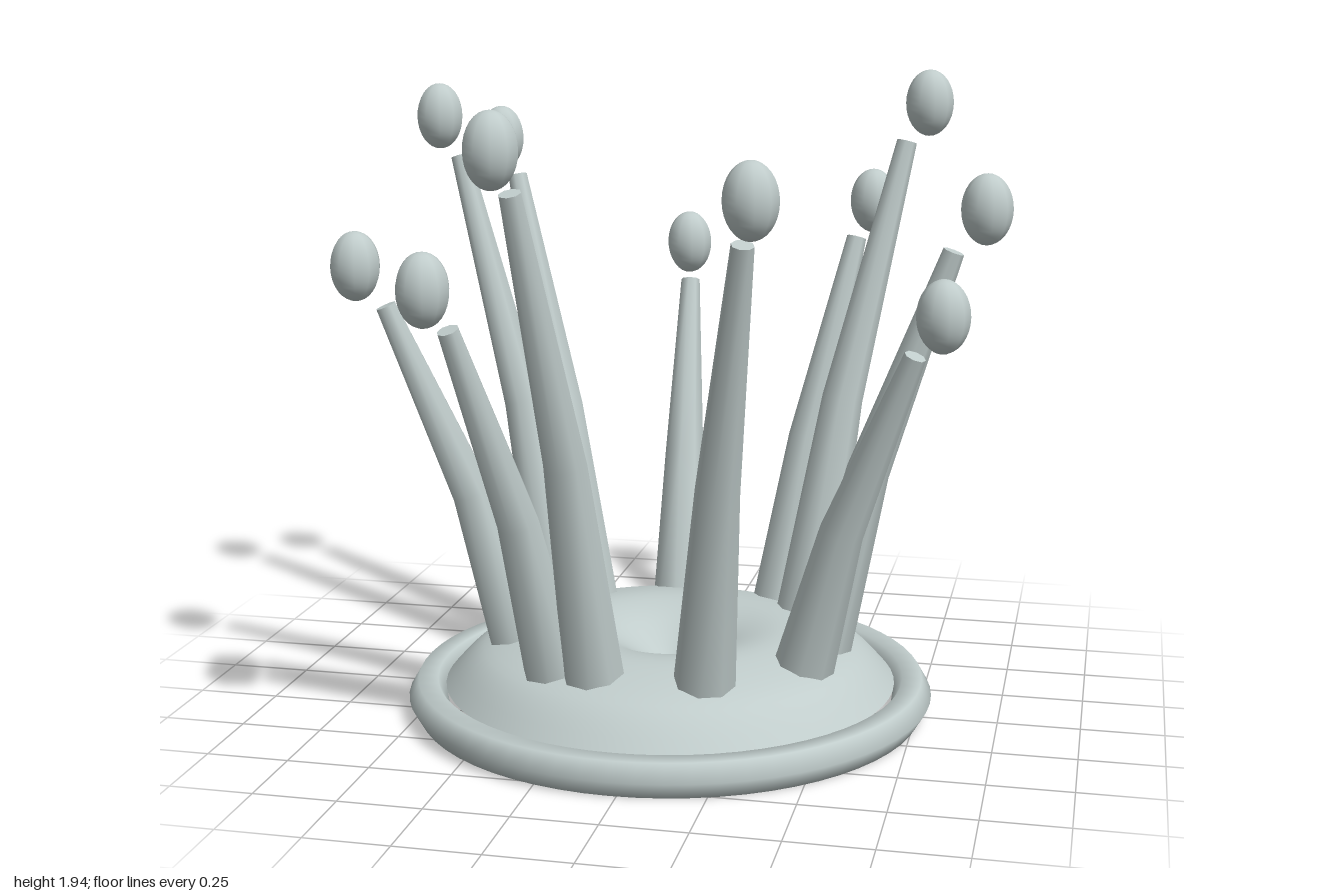
import * as THREE from 'three';

const paleGrey = new THREE.MeshStandardMaterial({ color: 0xc0cccb, side: THREE.DoubleSide });
paleGrey.name = 'paleGrey';

// Tapered eight-sided stalk bent through base, middle and tip
function stalkGeometry(base, tip) {
  const mid = base.clone().lerp(tip, 0.4);
  mid.y = (base.y + tip.y) / 2;
  const points = [base, mid, tip];
  const lower = mid.clone().sub(base).normalize();
  const upper = tip.clone().sub(mid).normalize();
  const tangents = [lower, lower.clone().add(upper).normalize(), upper];
  const up = new THREE.Vector3(0, 1, 0);
  const turns = tangents.map((t) => new THREE.Quaternion().setFromUnitVectors(up, t));

  const geometry = new THREE.CylinderGeometry(0.032, 0.098, 2, 8, 2);
  const position = geometry.attributes.position;
  const normal = geometry.attributes.normal;
  const v = new THREE.Vector3();
  for (let i = 0; i < position.count; i++) {
    const ring = Math.round(position.getY(i) + 1);
    v.fromBufferAttribute(position, i).setY(0).applyQuaternion(turns[ring]).add(points[ring]);
    position.setXYZ(i, v.x, v.y, v.z);
    v.fromBufferAttribute(normal, i).applyQuaternion(turns[ring]);
    normal.setXYZ(i, v.x, v.y, v.z);
  }
  return geometry;
}

export function createModel() {
  const model = new THREE.Group();
  model.name = 'stalkedCrown';
  const add = (name, geometry, x, y, z) => {
    const mesh = new THREE.Mesh(geometry, paleGrey);
    mesh.name = name;
    mesh.position.set(x, y, z);
    model.add(mesh);
    return mesh;
  };

  // Rounded rim with a six-sided section
  const rim = new THREE.TorusGeometry(0.755, 0.06, 6, 64);
  rim.rotateX(Math.PI / 2);
  add('rim', rim, -0.02, 0.053, 0.018);

  // Open shell that rises from the rim and dips at its centre
  const profile = new THREE.SplineCurve([
    [0.7, 0.085], [0.63, 0.16], [0.56, 0.205], [0.44, 0.238], [0.32, 0.25],
    [0.2, 0.222], [0.1, 0.165], [0, 0.1],
  ].map(([r, y]) => new THREE.Vector2(r, y))).getPoints(24);
  profile[24].x = 0;
  add('dishedDome', new THREE.LatheGeometry(profile.reverse(), 64), -0.02, 0, 0.018);

  // Each stalk: base x, z; tip x, y, z; bulb x, y, z
  const stalks = [
    [-0.09, -0.45, -0.14, 1.21, -0.845, -0.16, 1.33, -0.925],
    [0.24, -0.42, 0.45, 1.39, -0.71, 0.495, 1.505, -0.78],
    [0.34, -0.28, 0.625, 1.72, -0.56, 0.69, 1.84, -0.61],
    [0.43, 0.01, 0.83, 1.45, 0.015, 0.923, 1.575, 0.01],
    [0.405, 0.2, 0.76, 1.2, 0.37, 0.838, 1.32, 0.4],
    [0.165, 0.42, 0.345, 1.555, 0.785, 0.38, 1.68, 0.865],
    [-0.145, 0.43, -0.272, 1.68, 0.83, -0.297, 1.8, 0.915],
    [-0.27, 0.39, -0.485, 1.29, 0.735, -0.53, 1.41, 0.805],
    [-0.45, 0.13, -0.84, 1.27, 0.26, -0.925, 1.39, 0.28],
    [-0.41, -0.18, -0.8, 1.665, -0.36, -0.877, 1.79, -0.39],
    [-0.34, -0.28, -0.67, 1.585, -0.565, -0.737, 1.705, -0.61],
  ];
  for (const [bx, bz, tx, ty, tz, x, y, z] of stalks) {
    const base = new THREE.Vector3(bx, 0.1, bz);
    add('stalk', stalkGeometry(base, new THREE.Vector3(tx, ty, tz)), 0, 0, 0);
    // Egg-shaped bulb floating just above the tip
    add('bulb', new THREE.SphereGeometry(1, 10, 16), x, y, z).scale.set(0.076, 0.105, 0.076);
  }
  return model;
}
